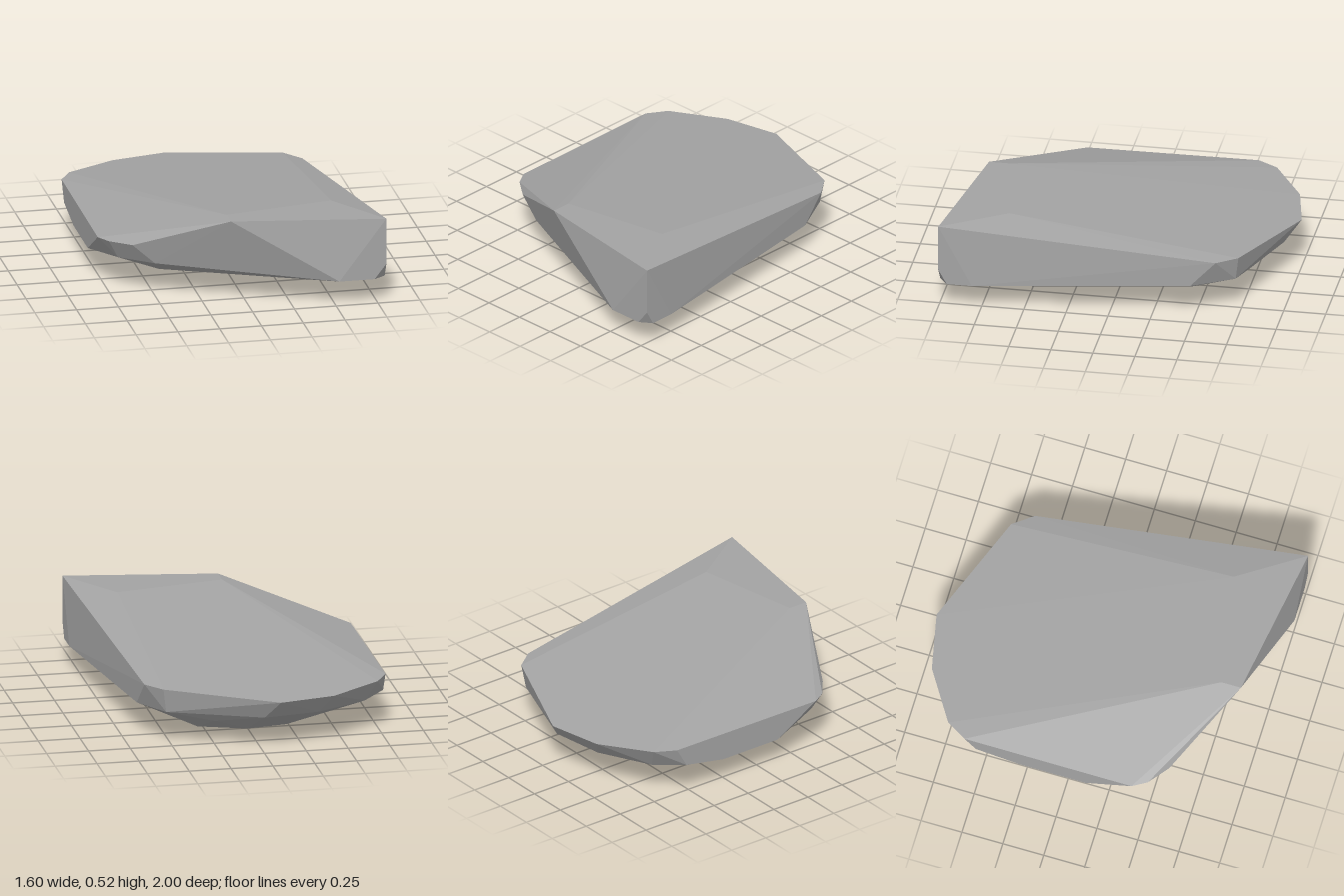
import * as THREE from 'three';
import { ConvexGeometry } from 'three/addons/geometries/ConvexGeometry.js';

// Each ring lists corner points of the faceted stone as [x, y, z].
const crown = [
  [-0.1, 0.52, 0.74], [0.55, 0.52, 0.62], [0.8, 0.52, 1], [-0.1, 0.52, 0.86],
];
const upperRim = [
  [-0.8, 0.315, 0.4], [-0.8, 0.32, -0.62], [-0.73, 0.317, -0.74],
  [-0.43, 0.304, -0.93], [-0.1, 0.304, -1], [0.55, 0.345, -0.74],
  [0.64, 0.345, -0.62], [0.8, 0.24, 1], [-0.63, 0.315, 0.58], [-0.75, 0.315, 0.485],
];
const lowerRim = [
  [0.52, 0.15, 1], [0.73, 0.15, 1], [0.8, 0.15, 0.95], [0.8, 0.15, 0.8],
  [0.655, 0.19, -0.47], [0.53, 0.2, -0.72], [0.25, 0.14, -0.76],
  [-0.02, 0.19, -0.91], [-0.35, 0.19, -0.86], [-0.66, 0.19, -0.7],
  [-0.8, 0.2, -0.55], [-0.8, 0.15, -0.28], [-0.8, 0.15, 0.12],
  [-0.69, 0.2, 0.45], [-0.5, 0.2, 0.6],
];
const base = [
  [0.28, 0, -0.41], [0, 0, -0.51], [-0.24, 0, -0.47], [-0.49, 0, -0.09],
  [-0.38, 0, 0.15], [-0.03, 0, 0.29], [0.22, 0, 0.12], [0.3, 0, -0.15],
];

export function createModel() {
  const group = new THREE.Group();
  group.name = 'rock';

  const stone = new THREE.MeshStandardMaterial({ color: 0xa3a3a3, flatShading: true });
  stone.name = 'stoneGrey';

  // The stone is the convex hull of its rings, giving flat chiselled facets.
  const points = [...crown, ...upperRim, ...lowerRim, ...base]
    .map((p) => new THREE.Vector3(...p));
  const boulder = new THREE.Mesh(new ConvexGeometry(points), stone);
  boulder.name = 'boulder';
  group.add(boulder);

  return group;
}
